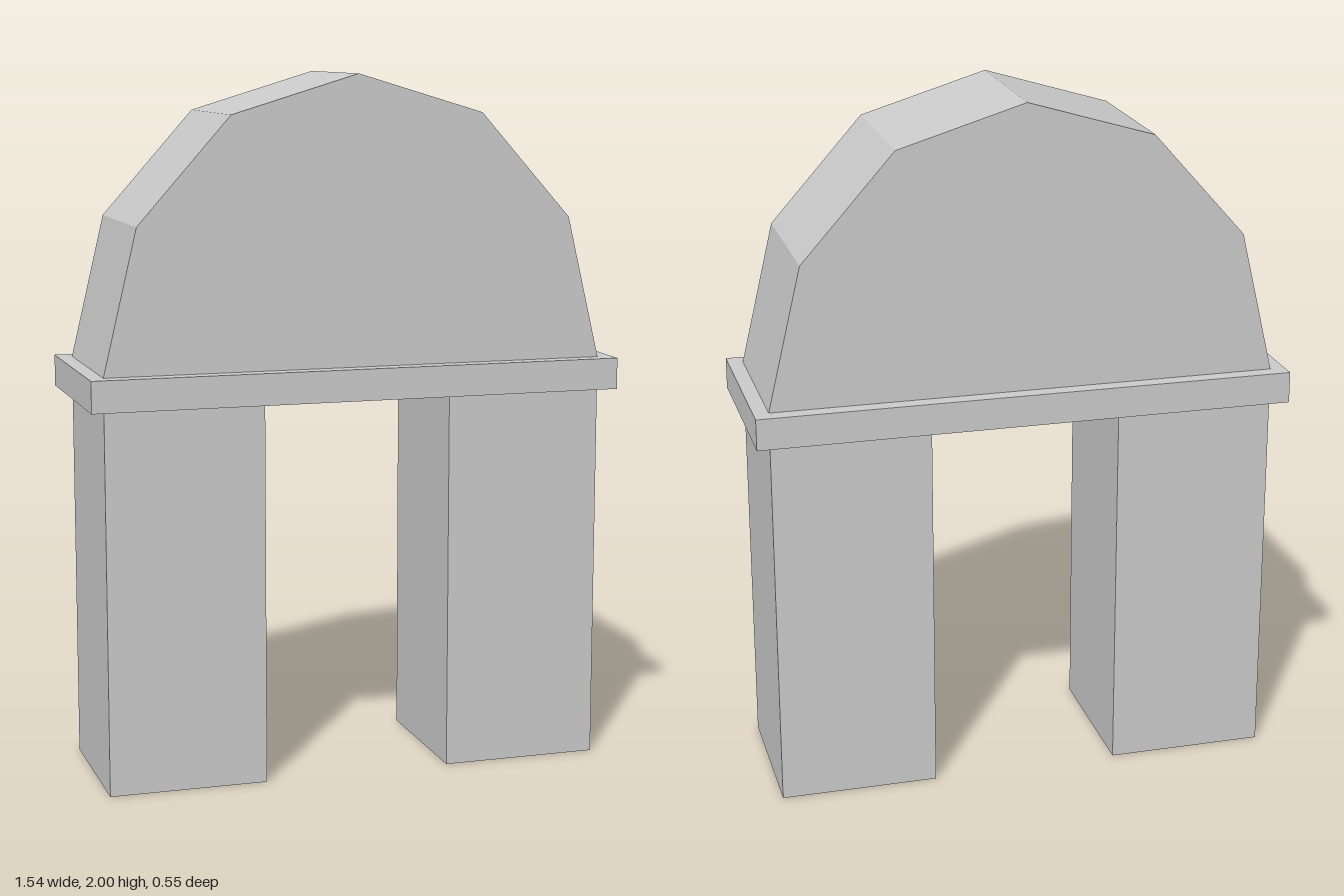
import * as THREE from 'three';

export function createModel() {
  const model = new THREE.Group();
  const material = new THREE.MeshStandardMaterial({ color: 0xcccccc, flatShading: true });

  const add = (name, geometry, x, y, z) => {
    const mesh = new THREE.Mesh(geometry, material);
    mesh.name = name;
    mesh.position.set(x, y, z);
    model.add(mesh);
  };

  const depth = 0.455;
  const halfWidth = 0.727;
  const pillarHeight = 1.095;
  const slabHeight = 0.09;
  const archRise = 2 - pillarHeight - slabHeight;

  // Two square pillars
  for (const [name, side] of [['leftPillar', 1], ['rightPillar', -1]]) {
    add(name, new THREE.BoxGeometry(depth, pillarHeight, depth),
      side * (halfWidth - depth / 2), pillarHeight / 2, 0);
  }

  // Overhanging slab across the pillars
  add('slab', new THREE.BoxGeometry(1.54, slabHeight, 0.545), 0, pillarHeight + slabHeight / 2, 0);

  // Solid six-sided half-ellipse on top
  const points = [];
  const segments = 6;
  for (let i = 0; i <= segments; i++) {
    const a = (i / segments) * Math.PI;
    points.push(new THREE.Vector2(halfWidth * Math.cos(a), archRise * Math.sin(a)));
  }
  const archGeometry = new THREE.ExtrudeGeometry(new THREE.Shape(points), { depth, bevelEnabled: false });
  add('archedTop', archGeometry, 0, pillarHeight + slabHeight, -depth / 2);

  return model;
}
